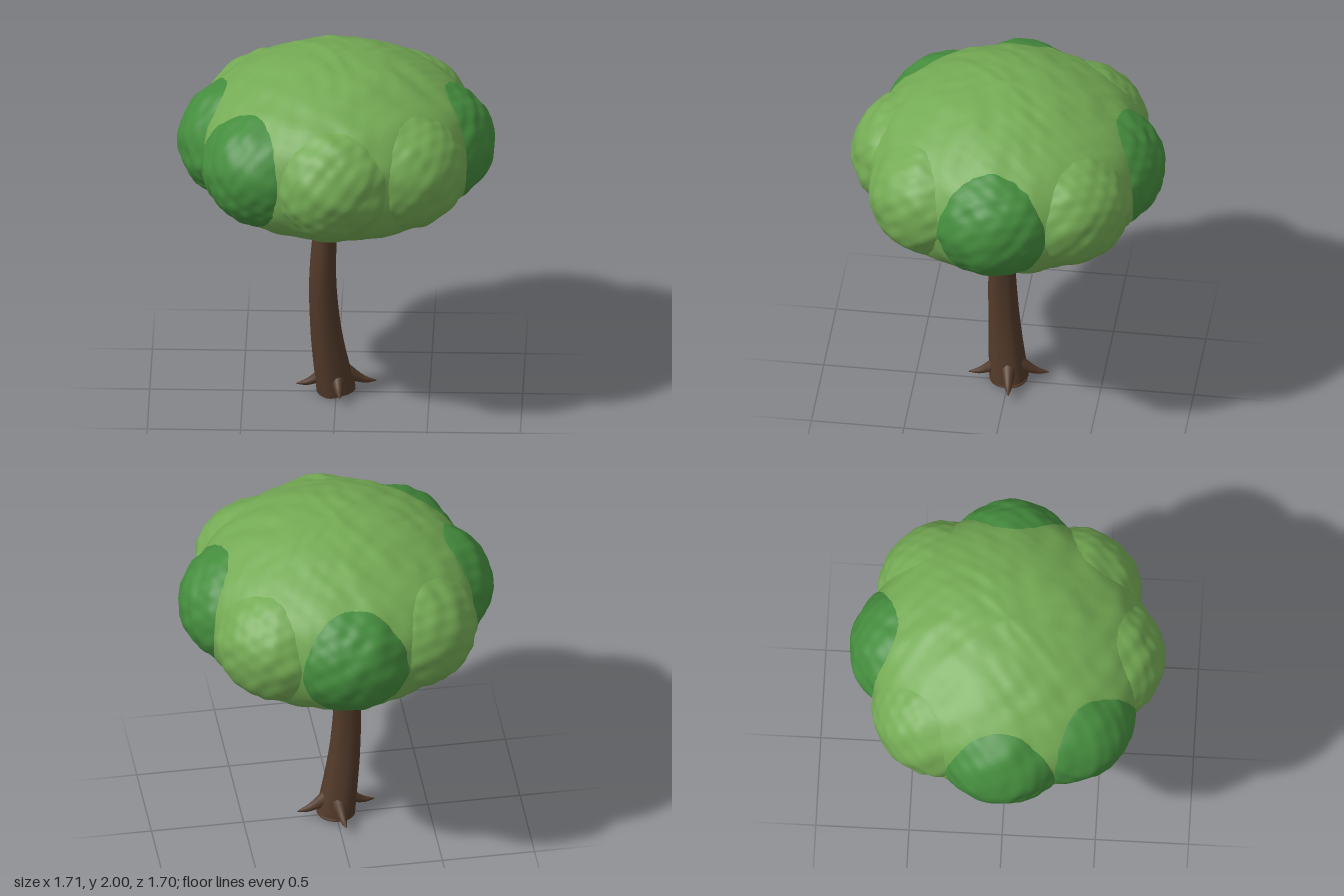
import * as THREE from 'three';
import { mergeVertices } from 'three/addons/utils/BufferGeometryUtils.js';

const leafLight = new THREE.MeshStandardMaterial({ color: 0x74aa54 });
const leafDark = new THREE.MeshStandardMaterial({ color: 0x458d3e });
const bark = new THREE.MeshStandardMaterial({ color: 0x513929 });

// Weld seams and recompute smooth normals
function weld(geometry) {
  geometry.deleteAttribute('uv');
  geometry.deleteAttribute('normal');
  const welded = mergeVertices(geometry, 1e-4);
  welded.computeVertexNormals();
  return welded;
}

// Smooth pseudo-random bumps, roughly -1..1
function bumps(x, y, z) {
  const a = Math.sin(19 * x + 3 * Math.sin(11 * z + 2)) * Math.sin(23 * y + 2 * Math.sin(13 * x));
  const b = Math.sin(21 * z + 2.5 * Math.sin(12 * y + 1)) * Math.sin(17 * x + 9 * y + 4);
  const c = Math.sin(41 * x + 13 * z) * Math.sin(43 * y - 17 * x) * Math.sin(39 * z + 11 * y);
  return 0.45 * a + 0.45 * b + 0.5 * c;
}

// Push the surface in and out along its normals for a leafy look
function leafy(geometry, amount) {
  const g = weld(geometry);
  const p = g.attributes.position, n = g.attributes.normal;
  for (let i = 0; i < p.count; i++) {
    const d = amount * bumps(p.getX(i), p.getY(i), p.getZ(i));
    p.setXYZ(i, p.getX(i) + d * n.getX(i), p.getY(i) + d * n.getY(i), p.getZ(i) + d * n.getZ(i));
  }
  g.computeVertexNormals();
  return g;
}

// Tube along points whose radius follows a list, with optional ridges
function taperedTube(points, radii, rings, sides, ridge = 0) {
  const path = new THREE.CatmullRomCurve3(points.map((q) => new THREE.Vector3(...q)));
  const g = new THREE.TubeGeometry(path, rings, 1, sides);
  const p = g.attributes.position, v = new THREE.Vector3();
  for (let i = 0; i <= rings; i++) {
    const u = i / rings, centre = path.getPointAt(u);
    const t = u * (radii.length - 1), k = Math.min(Math.floor(t), radii.length - 2);
    const r = THREE.MathUtils.lerp(radii[k], radii[k + 1], t - k);
    for (let j = 0; j <= sides; j++) {
      const index = i * (sides + 1) + j, a = (j / sides) * Math.PI * 2;
      const wave = 1 + ridge * (Math.sin(5 * a + 2 * u) + 0.5 * Math.sin(3 * a - 4 * u));
      v.fromBufferAttribute(p, index).sub(centre).multiplyScalar(r * wave).add(centre);
      p.setXYZ(index, v.x, v.y, v.z);
    }
  }
  return weld(g);
}

function addMesh(group, name, geometry, material) {
  const mesh = new THREE.Mesh(geometry, material);
  mesh.name = name;
  group.add(mesh);
  return mesh;
}

export function createModel() {
  const tree = new THREE.Group();
  tree.name = 'tree';

  // Curved trunk, wider at the foot
  const trunk = new THREE.Group();
  trunk.name = 'trunk';
  tree.add(trunk);
  addMesh(trunk, 'stem', taperedTube(
    [[0, 0.015, 0], [-0.03, 0.2, 0.02], [-0.055, 0.4, 0.035], [-0.07, 0.7, 0.045], [-0.05, 1.07, 0.03], [-0.03, 1.25, 0.02]],
    [0.105, 0.092, 0.081, 0.074, 0.068, 0.062, 0.058], 32, 24, 0.03), bark);
  const base = addMesh(trunk, 'base', new THREE.SphereGeometry(0.103, 24, 8), bark);
  base.scale.y = 0.15;
  base.position.y = 0.0155;

  // Four pointed roots
  const rootGeometry = taperedTube(
    [[0.04, 0.12, 0], [0.1, 0.085, 0], [0.155, 0.06, 0], [0.215, 0.052, 0]],
    [0.045, 0.036, 0.025, 0.016, 0.003], 14, 10);
  for (let i = 0; i < 4; i++) {
    addMesh(trunk, 'root', rootGeometry, bark).rotation.y = i * Math.PI / 2 + 0.12;
  }

  // Main crown: flat underside, domed top
  const canopy = new THREE.Group();
  canopy.name = 'canopy';
  tree.add(canopy);
  const profile = new THREE.CatmullRomCurve3([
    [0, 1.07], [0.2, 1.077], [0.44, 1.115], [0.65, 1.2], [0.735, 1.32], [0.765, 1.48],
    [0.735, 1.64], [0.65, 1.76], [0.5, 1.862], [0.27, 1.957], [0, 1.995],
  ].map(([r, y]) => new THREE.Vector3(r, y, 0)));
  const outline = profile.getSpacedPoints(56).map((q) => new THREE.Vector2(Math.max(q.x, 0), q.y));
  outline[0].x = outline[56].x = 0;
  addMesh(canopy, 'crown', leafy(new THREE.LatheGeometry(outline, 128), 0.009), leafLight);

  // Eight leaf clumps around the rim, counted from +x towards +z
  const darkClumps = [0, 3, 4, 6];
  for (let i = 0; i < 8; i++) {
    const a = i * Math.PI / 4;
    const g = new THREE.IcosahedronGeometry(1, 24);
    g.scale(0.37, 0.335, 0.37);
    g.translate(0.48 * Math.cos(a), 1.49, 0.475 * Math.sin(a));
    addMesh(canopy, 'leafClump', leafy(g, 0.01), darkClumps.includes(i) ? leafDark : leafLight);
  }
  return tree;
}
